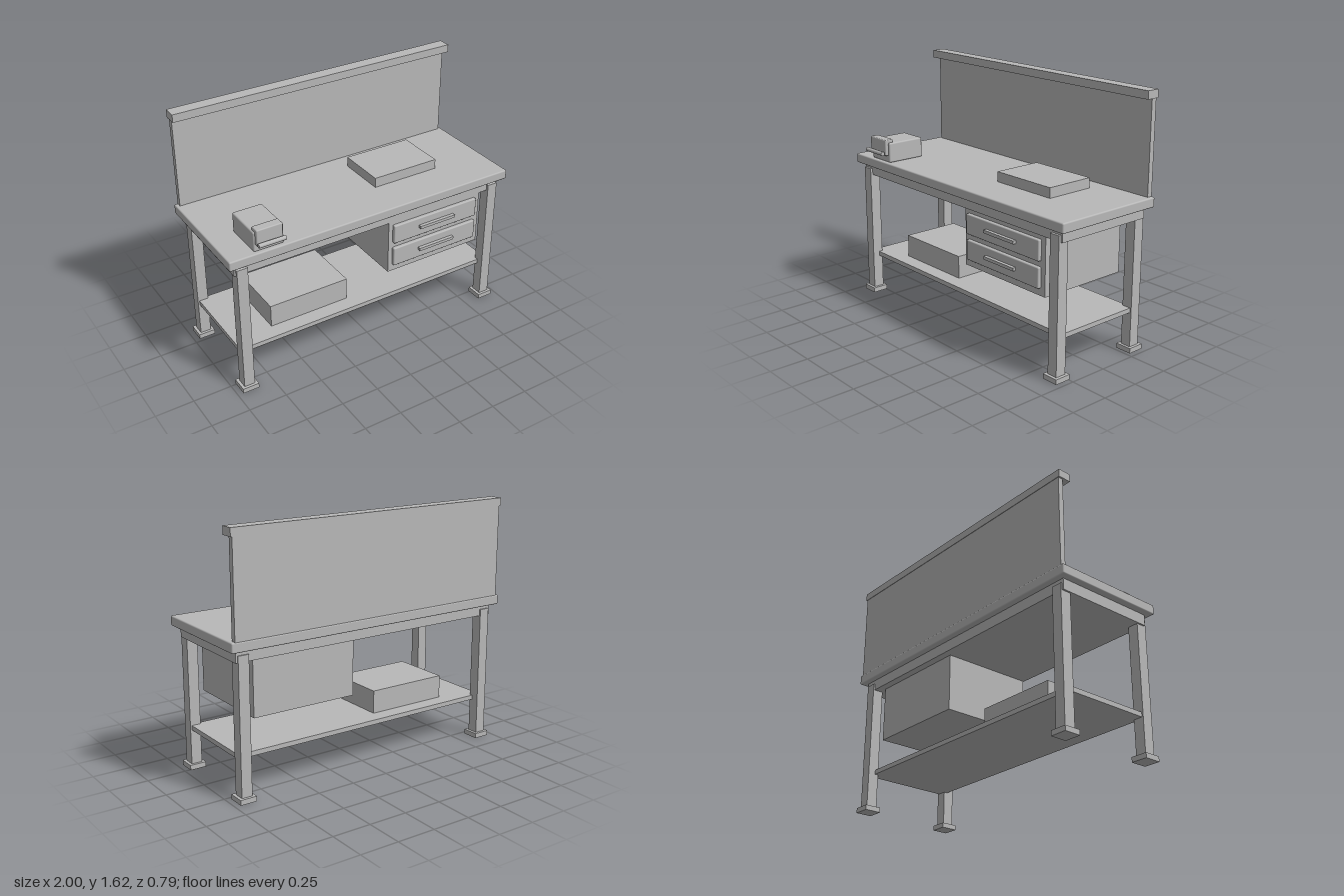
import * as THREE from 'three';
import { RoundedBoxGeometry } from 'three/addons/geometries/RoundedBoxGeometry.js';

export function createModel() {
  const model = new THREE.Group();
  model.name = 'workbench';
  const grey = new THREE.MeshStandardMaterial({ color: 0xb8b8b8 });
  grey.name = 'grey';

  // Box from its min/max extents; a radius rounds the edges
  function box(name, [x0, x1], [y0, y1], [z0, z1], radius = 0) {
    const size = [x1 - x0, y1 - y0, z1 - z0];
    const geometry = radius
      ? new RoundedBoxGeometry(...size, 3, radius)
      : new THREE.BoxGeometry(...size);
    const mesh = new THREE.Mesh(geometry, grey);
    mesh.name = name;
    mesh.position.set((x0 + x1) / 2, (y0 + y1) / 2, (z0 + z1) / 2);
    model.add(mesh);
    return mesh;
  }

  // Top, apron and lower shelf
  box('tabletop', [-1, 1], [0.917, 0.98], [-0.395, 0.357], 0.009);
  box('apron', [-0.956, 0.956], [0.847, 0.918], [-0.355, 0.316]);
  box('lowerShelf', [-0.935, 0.935], [0.255, 0.285], [-0.315, 0.285]);

  // Legs with foot pads
  for (const [side, s] of [['left', 1], ['right', -1]]) {
    for (const [end, z] of [['Front', 0.296], ['Back', -0.328]]) {
      const x = s * 0.91;
      box(side + end + 'Leg', [x - 0.035, x + 0.035], [0.02, 0.89], [z - 0.036, z + 0.036]);
      box(side + end + 'Foot', [x - 0.054, x + 0.054], [0, 0.032], [z - 0.054, z + 0.054]);
    }
  }

  // Back panel with its cap rail
  box('backPanel', [-0.977, 0.977], [0.97, 1.57], [-0.391, -0.356]);
  box('capRail', [-0.988, 0.988], [1.567, 1.618], [-0.394, -0.308]);

  // Drawer cabinet
  box('drawerCabinet', [0.113, 0.819], [0.48, 0.85], [-0.306, 0.31]);
  for (const y of [0.757, 0.591]) {
    box('drawerFront', [0.143, 0.784], [y - 0.065, y + 0.065], [0.3, 0.332], 0.008);
    box('drawerHandle', [0.33, 0.595], [y - 0.006, y + 0.014], [0.325, 0.354]);
  }

  // Loose boxes
  box('shelfBox', [-0.668, -0.117], [0.285, 0.435], [-0.214, 0.184]);
  box('tabletopBox', [0.155, 0.62], [0.975, 1.045], [-0.239, 0.09]);

  // Bench vise with its bar handle
  box('viseBody', [-0.833, -0.637], [0.98, 1.112], [0.073, 0.336], 0.01);
  box('viseJaw', [-0.822, -0.652], [1.027, 1.133], [0.297, 0.358], 0.007);
  const handle = new THREE.Mesh(new THREE.CylinderGeometry(0.0135, 0.0135, 0.177, 20), grey);
  handle.name = 'viseHandle';
  handle.rotation.z = Math.PI / 2;
  handle.position.set(-0.737, 1.047, 0.383);
  model.add(handle);

  return model;
}
